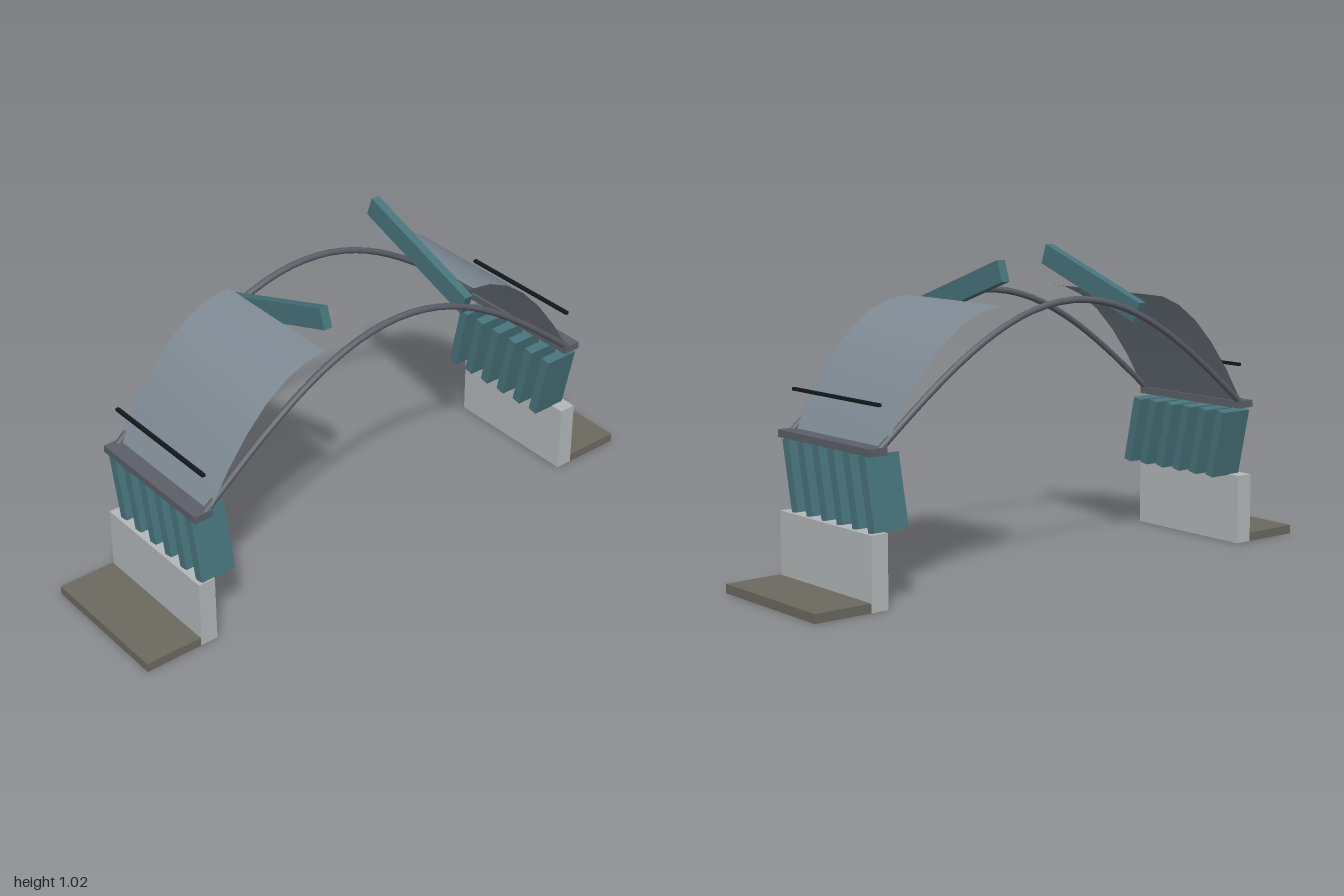
import * as THREE from 'three';

const mat = (color, extra = {}) => new THREE.MeshStandardMaterial({ color, ...extra });

export function createModel() {
  const model = new THREE.Group();
  const stone = mat(0x6b695f), wall = mat(0xb4b8ba), teal = mat(0x47737b);
  const steel = mat(0x5c5f69), dark = mat(0x12191d);
  const sheet = mat(0x7f8a94, { side: THREE.DoubleSide });

  const add = (name, geometry, material, x = 0, y = 0, z = 0, tilt = 0) => {
    const mesh = new THREE.Mesh(geometry, material);
    mesh.name = name;
    mesh.position.set(x, y, z);
    mesh.rotation.x = tilt;
    model.add(mesh);
  };
  const box = (name, size, material, x, y, z = 0, tilt = 0) =>
    add(name, new THREE.BoxGeometry(...size), material, x, y, z, tilt);

  // Two mirrored abutments; the blades lean opposite ways on each side
  for (const side of [1, -1]) {
    const label = side > 0 ? 'left' : 'right';
    box(label + 'GroundSlab', [0.2, 0.03, 0.494], stone, side * 0.9, 0.015);
    box(label + 'BaseWall', [0.06, 0.235, 0.494], wall, side * 0.767, 0.1175);
    for (let i = 0; i < 6; i++) {
      box(label + 'LouverBlade', [0.125, 0.233, 0.034], teal,
        side * 0.722, 0.35, (i - 2.5) * 0.0825, side * 0.21);
    }
    box(label + 'BearingRail', [0.065, 0.024, 0.494], steel, side * 0.767, 0.481);
    box(label + 'HandRail', [0.012, 0.01, 0.464], dark, side * 0.75, 0.618);
    box(label + 'CrossBlade', [0.03, 0.07, 0.498], teal, side * 0.285, 0.908, 0, side * 0.34);

    // Curved roof sheet, dropping ever more steeply towards the rail
    const panel = new THREE.PlaneGeometry(0.445, 0.494, 6, 1).rotateX(-Math.PI / 2);
    const p = panel.attributes.position;
    for (let i = 0; i < p.count; i++) {
      const run = side * p.getX(i) + 0.2225;
      p.setXYZ(i, side * (0.3 + run), 0.885 - 1.99 * run * run, p.getZ(i));
    }
    panel.computeVertexNormals();
    add(label + 'RoofPanel', panel, sheet);
  }

  // Front and back arch ribs
  const points = [];
  for (let i = 0; i <= 24; i++) {
    const t = i / 24;
    points.push(new THREE.Vector3(-0.76 + 1.52 * t, 0.482 + 0.403 * Math.sin(Math.PI * t), 0));
  }
  const rib = new THREE.TubeGeometry(new THREE.CatmullRomCurve3(points), 32, 0.011, 8);
  for (const z of [0.235, -0.235]) add(z > 0 ? 'frontArch' : 'backArch', rib, steel, 0, 0, z);

  return model;
}
